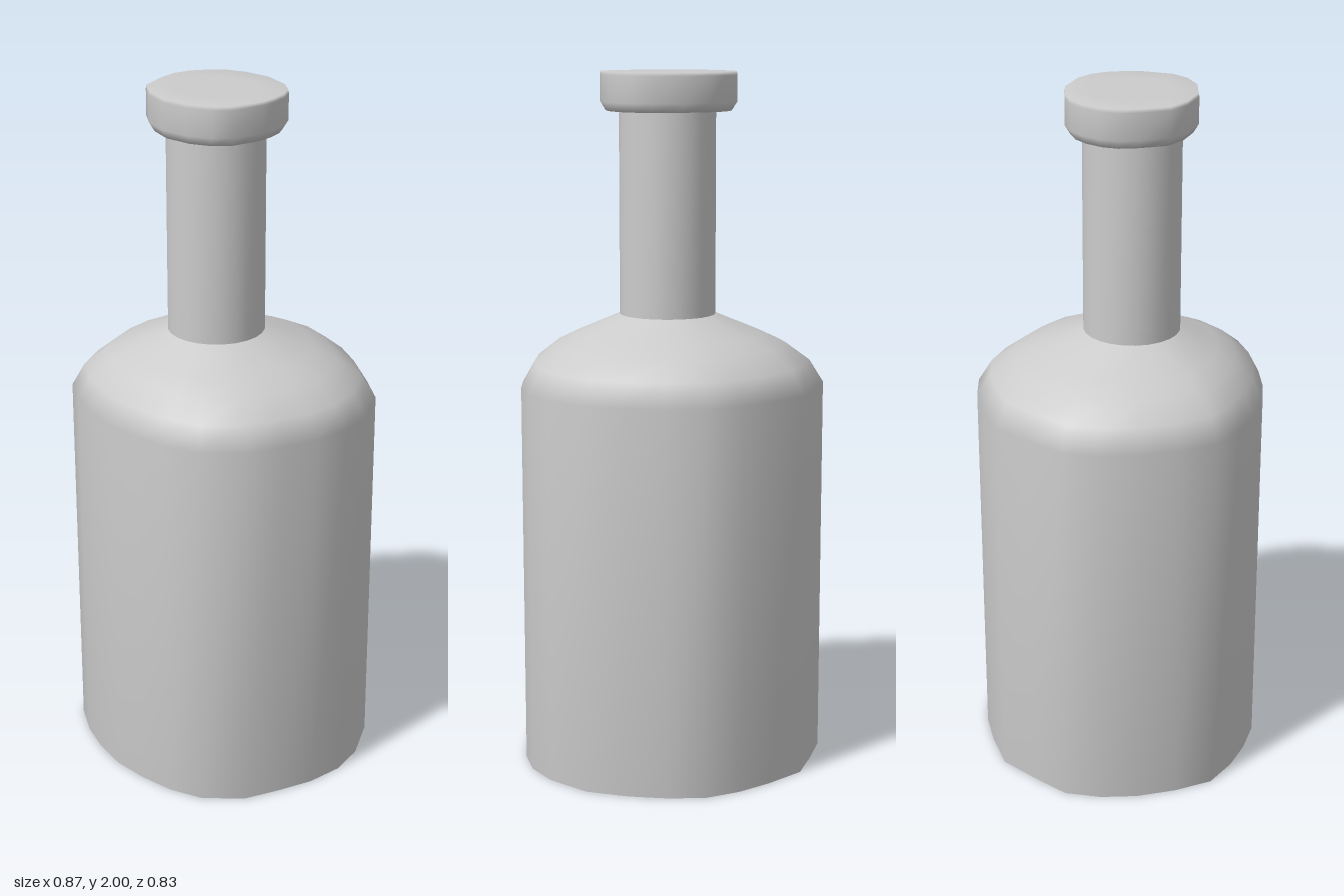
import * as THREE from 'three';

// Hand-shaped outlines as [x, z], starting at the back and going round by +x
const BODY = [
  [0, -0.418], [0.105, -0.397], [0.21, -0.355], [0.318, -0.292], [0.4, -0.18], [0.434, -0.08],
  [0.434, 0.026], [0.411, 0.128], [0.381, 0.234], [0.301, 0.33], [0.21, 0.376], [0.105, 0.402],
  [0, 0.414], [-0.105, 0.402], [-0.203, 0.376], [-0.3, 0.33], [-0.364, 0.234], [-0.413, 0.128],
  [-0.437, 0.026], [-0.437, -0.08], [-0.383, -0.18], [-0.315, -0.292], [-0.203, -0.355], [-0.103, -0.397],
];
const LIP = [
  [0, -0.152], [0.09, -0.135], [0.135, -0.108], [0.164, -0.07], [0.182, -0.02], [0.19, 0.03],
  [0.178, 0.119], [0.145, 0.164], [0.086, 0.2], [0, 0.217], [-0.082, 0.2], [-0.143, 0.164],
  [-0.18, 0.086], [-0.196, 0.03], [-0.19, -0.02], [-0.166, -0.07], [-0.13, -0.11], [-0.082, -0.135],
];
const NECK_Z = 0.035;
const NECK = BODY.map((_, i) => {
  const a = (i / BODY.length) * Math.PI * 2;
  return [0.138 * Math.sin(a), NECK_Z - 0.138 * Math.cos(a)];
});

const blend = (a, b, t) => a.map(([x, z], i) => [x + (b[i][0] - x) * t, z + (b[i][1] - z) * t]);
const inset = (outline, s, cz) => outline.map(([x, z]) => [x * s, cz + (z - cz) * s]);

// Skin a stack of [y, outline] rings, bottom to top, with smooth normals
function loft(name, rings) {
  const n = rings[0][1].length;
  const position = [];
  const index = [];
  for (const [y, outline] of rings) for (const [x, z] of outline) position.push(x, y, z);
  for (let j = 0; j < rings.length - 1; j++) {
    for (let i = 0; i < n; i++) {
      const a = j * n + i;
      const b = j * n + ((i + 1) % n);
      index.push(a, a + n, b, b, a + n, b + n);
    }
  }
  const geometry = new THREE.BufferGeometry();
  geometry.setAttribute('position', new THREE.Float32BufferAttribute(position, 3));
  geometry.setIndex(index);
  geometry.computeVertexNormals();
  const mesh = new THREE.Mesh(geometry, new THREE.MeshStandardMaterial({ color: 0xcccccc }));
  mesh.name = name;
  return mesh;
}

export function createModel() {
  const group = new THREE.Group();
  group.name = 'bottle';

  // Closed base, straight wall and a shoulder that blends into the round neck
  const shoulder = [[1.175, 0.13], [1.225, 0.35], [1.255, 0.56], [1.31, 1]];
  group.add(loft('body', [
    [0, inset(BODY, 0, 0)],
    [0, inset(BODY, 0.8, 0)],
    [0, BODY],
    [1.11, BODY],
    ...shoulder.map(([y, t]) => [y, blend(BODY, NECK, t)]),
  ]));

  // Neck
  group.add(loft('neck', [[1.31, NECK], [1.9, NECK]]));

  // Stopper lip with a softened lower edge and flat top
  group.add(loft('lip', [
    [1.89, inset(LIP, 0.68, NECK_Z)],
    [1.89, inset(LIP, 0.92, NECK_Z)],
    [1.915, LIP],
    [1.99, LIP],
    [2, inset(LIP, 0.99, NECK_Z)],
    [2, inset(LIP, 0.6, NECK_Z)],
    [2, inset(LIP, 0, NECK_Z)],
  ]));

  return group;
}
